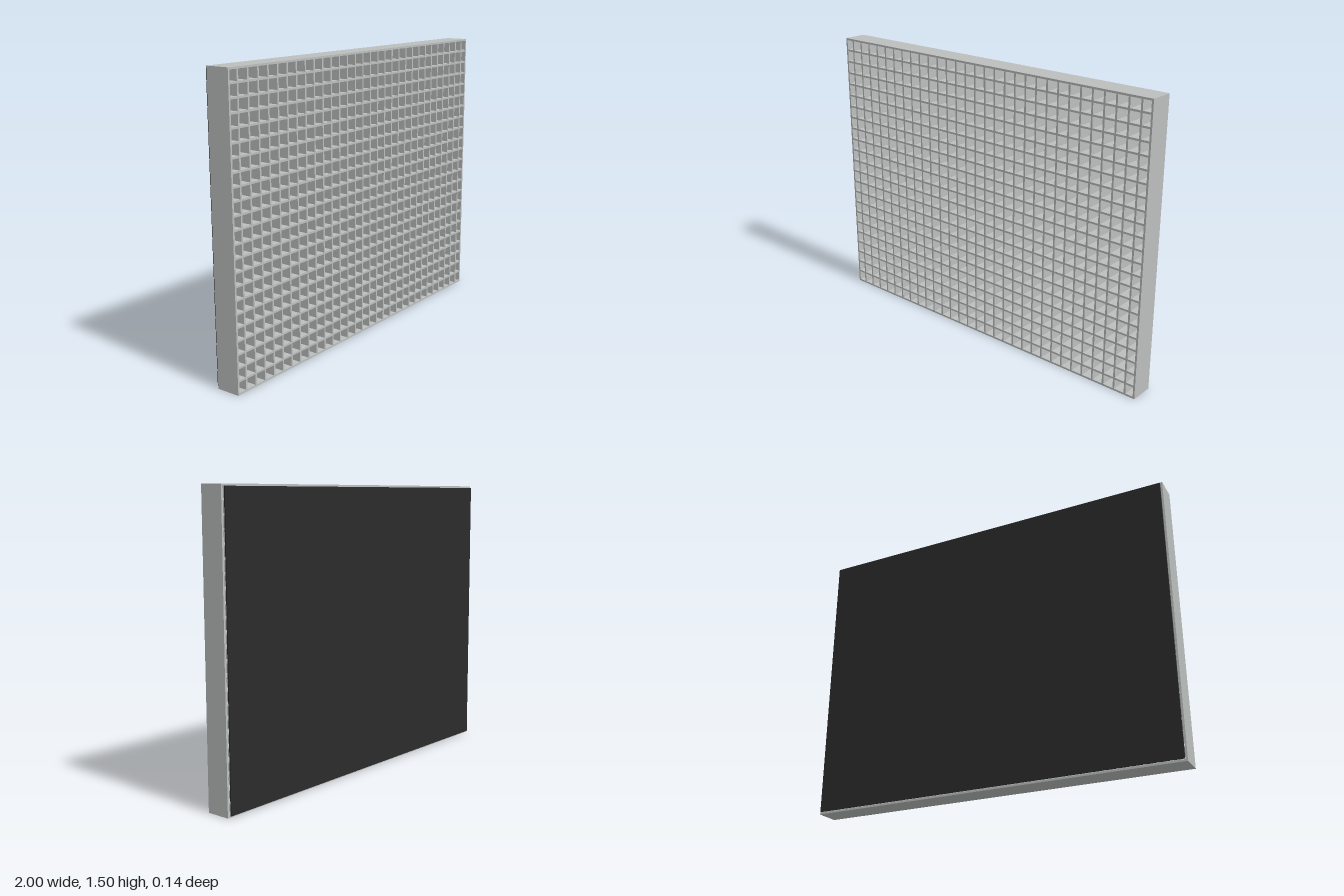
import * as THREE from 'three';

export function createModel() {
  const model = new THREE.Group();
  const frameGrey = new THREE.MeshStandardMaterial({ color: 0xbbbfbd });
  frameGrey.name = 'frameGrey';
  const panelBlack = new THREE.MeshStandardMaterial({ color: 0x2b2b2b });
  panelBlack.name = 'panelBlack';

  const W = 2, H = 1.5, T = 0.01, PITCH = 0.065;
  const BACK = -0.057, FRONT = 0.07;
  const depth = FRONT - BACK, midZ = (FRONT + BACK) / 2;

  function box(name, parent, mat, w, h, d, x, y, z) {
    const mesh = new THREE.Mesh(new THREE.BoxGeometry(w, h, d), mat);
    mesh.name = name;
    mesh.position.set(x, y, z);
    parent.add(mesh);
  }

  // Outer frame
  const frame = new THREE.Group();
  frame.name = 'outerFrame';
  for (const s of [-1, 1]) {
    box(s > 0 ? 'leftRail' : 'rightRail', frame, frameGrey, T, H, depth, s * (W - T) / 2, H / 2, midZ);
    box(s > 0 ? 'topRail' : 'bottomRail', frame, frameGrey, W - 2 * T, T, depth, 0, H / 2 + s * (H - T) / 2, midZ);
  }
  model.add(frame);

  // Crossed slats forming the square cells, open front and back
  const lattice = new THREE.Group();
  lattice.name = 'lattice';
  const columns = 30, rows = 22;
  for (let i = 0; i < columns; i++) {
    const x = (i - (columns - 1) / 2) * PITCH;
    box('verticalSlat', lattice, frameGrey, T, H - 2 * T, depth, x, H / 2, midZ);
  }
  for (let j = 0; j < rows; j++) {
    const y = H / 2 + (j - (rows - 1) / 2) * PITCH;
    box('horizontalSlat', lattice, frameGrey, W - 2 * T, T, depth, 0, y, midZ);
  }
  model.add(lattice);

  // Thin dark panel just behind the lattice
  box('backPanel', model, panelBlack, W - 0.02, H - 0.02, 0.006, 0, H / 2, -0.067);

  return model;
}
